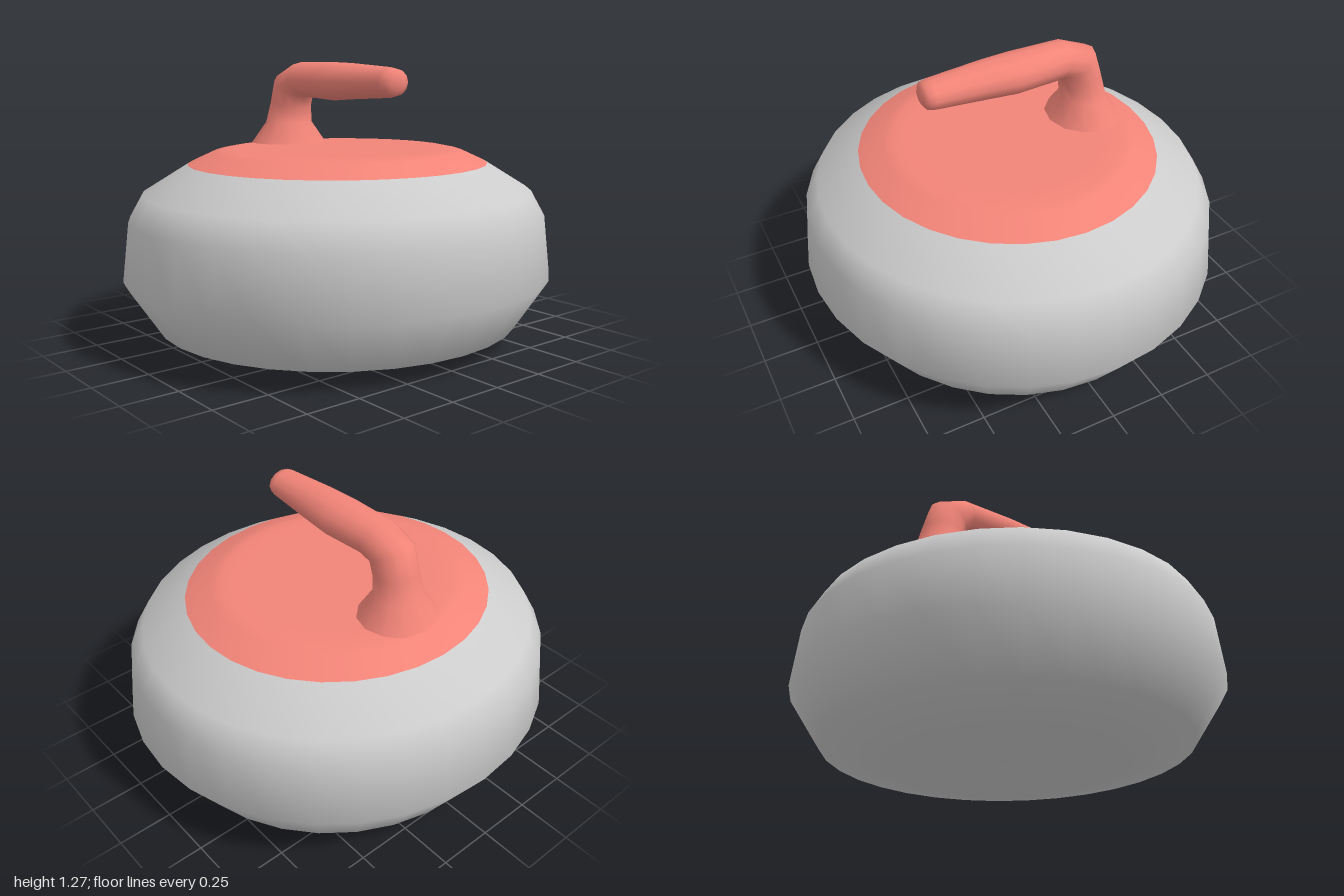
import * as THREE from 'three';

const DEPTH = 0.957; // the stone is slightly shallower than it is wide

function turned(name, points, material) {
  const profile = points.map(([r, y]) => new THREE.Vector2(r, y));
  const mesh = new THREE.Mesh(new THREE.LatheGeometry(profile, 32), material);
  mesh.name = name;
  mesh.scale.z = DEPTH;
  return mesh;
}

// Closed tube through elliptical rings; each ring is
// [inner z, inner y, outer z, outer y, half width in x]
function sweptRings(rings, sides) {
  const pos = [], index = [];
  for (const [iz, iy, oz, oy, w] of rings) {
    for (let k = 0; k < sides; k++) {
      const a = (k / sides) * Math.PI * 2, c = Math.cos(a) / 2;
      pos.push(w * Math.sin(a), (iy + oy) / 2 + (oy - iy) * c, (iz + oz) / 2 + (oz - iz) * c);
    }
  }
  for (let i = 0; i < rings.length - 1; i++) {
    for (let k = 0; k < sides; k++) {
      const n = (k + 1) % sides, a = i * sides + k, b = i * sides + n;
      index.push(a, a + sides, b + sides, a, b + sides, b);
    }
  }
  // rounded tip
  const [iz, iy, oz, oy] = rings[rings.length - 1];
  const tip = pos.length / 3, last = tip - sides;
  pos.push(0, (iy + oy) / 2, (iz + oz) / 2 + 0.006);
  for (let k = 0; k < sides; k++) index.push(last + k, tip, last + (k + 1) % sides);

  const geo = new THREE.BufferGeometry();
  geo.setAttribute('position', new THREE.Float32BufferAttribute(pos, 3));
  geo.setIndex(index);
  geo.computeVertexNormals();
  return geo;
}

export function createModel() {
  const group = new THREE.Group();
  const stone = new THREE.MeshStandardMaterial({ color: 0xcccccc });
  const red = new THREE.MeshStandardMaterial({ color: 0xf28478 });

  // Stone body with a small dimple in the underside
  group.add(turned('stoneBody', [
    [0, 0.02], [0.025, 0.02], [0.04, 0.005], [0.5, 0], [0.85, 0.08],
    [1, 0.305], [0.97, 0.57], [0.905, 0.685], [0.7, 0.81],
  ], stone));

  // Coloured top cap
  group.add(turned('topCap', [
    [0.7, 0.81], [0.585, 0.862], [0.53, 0.873], [0.45, 0.875], [0, 0.875],
  ], red));

  // Gooseneck handle: flared foot, neck, bend and tapering grip
  const handle = new THREE.Mesh(sweptRings([
    [-0.22, 0.87, -0.565, 0.87, 0.19],
    [-0.285, 0.975, -0.495, 0.975, 0.115],
    [-0.275, 1.05, -0.468, 1.08, 0.1],
    [-0.258, 1.095, -0.43, 1.205, 0.1],
    [-0.235, 1.1, -0.285, 1.265, 0.103],
    [-0.03, 1.09, -0.03, 1.266, 0.11],
    [0.1, 1.1, 0.1, 1.262, 0.103],
    [0.36, 1.115, 0.36, 1.246, 0.078],
    [0.39, 1.122, 0.39, 1.24, 0.072],
    [0.405, 1.145, 0.405, 1.218, 0.045],
  ], 12), red);
  handle.name = 'handle';
  group.add(handle);

  return group;
}
